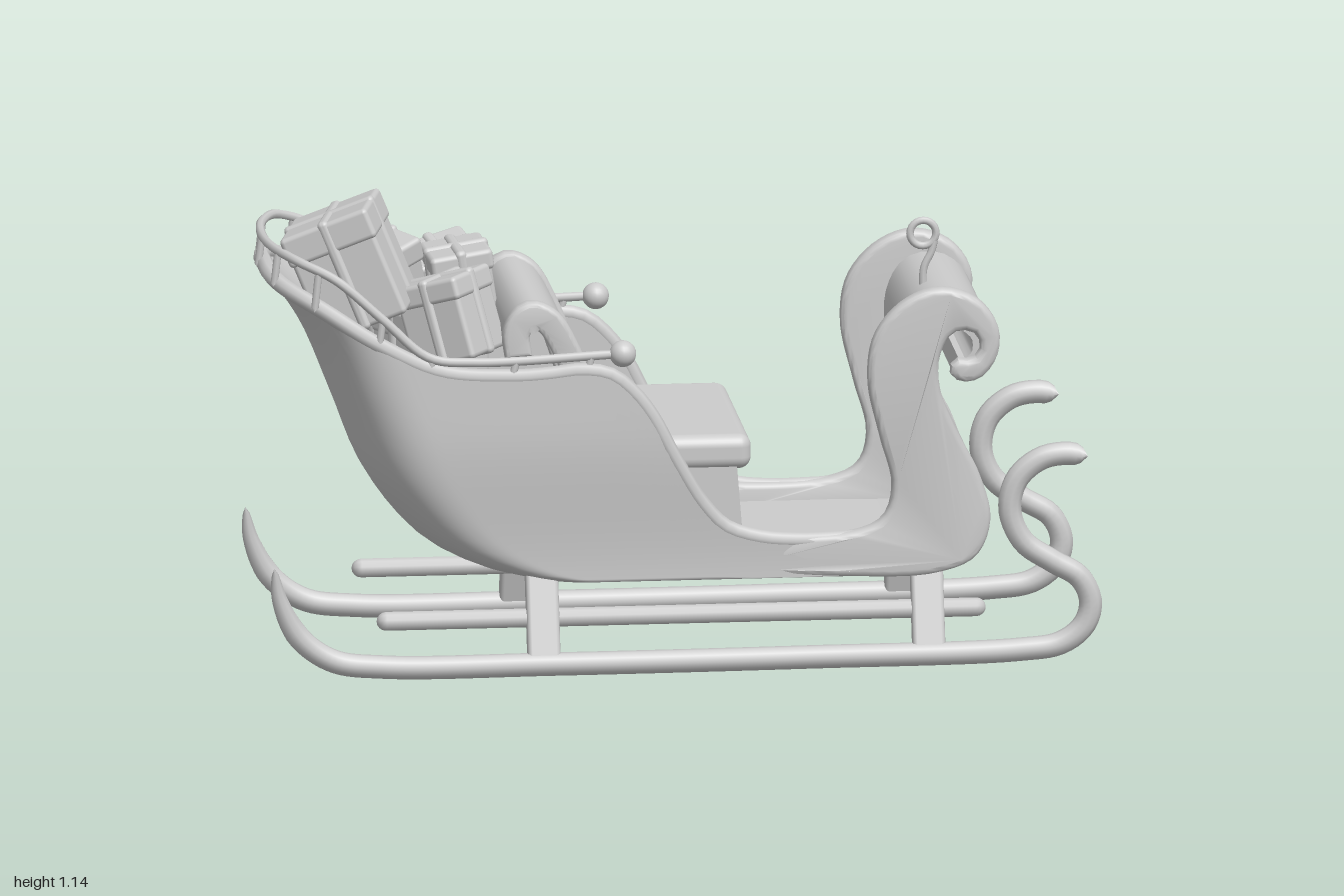
import * as THREE from 'three';
import { toCreasedNormals } from 'three/addons/utils/BufferGeometryUtils.js';
import { RoundedBoxGeometry } from 'three/addons/geometries/RoundedBoxGeometry.js';

const material = new THREE.MeshStandardMaterial({ color: 0xcccccc, side: THREE.DoubleSide });
const V = (x, y, z = 0) => new THREE.Vector3(x, y, z);
const smooth = THREE.MathUtils.smoothstep;

function add(parent, name, geometry) {
  const mesh = new THREE.Mesh(geometry, material);
  mesh.name = name;
  parent.add(mesh);
  return mesh;
}

const spline = (pts) => new THREE.CatmullRomCurve3(pts.map((p) => V(...p)), false, 'centripetal');

// Round bar along a curve; its ends close over the fractions tipA and tipB
function bar(curve, radius, segments = 60, sides = 10, tipA = 0.01, tipB = 0.01) {
  const g = new THREE.TubeGeometry(curve, segments, radius, sides);
  const pos = g.attributes.position, p = V(0, 0);
  for (let i = 0; i < pos.count; i++) {
    const u = Math.floor(i / (sides + 1)) / segments;
    const k = Math.sqrt(Math.min(1, u / tipA, (1 - u) / tipB));
    const c = curve.getPointAt(u);
    p.fromBufferAttribute(pos, i).sub(c).multiplyScalar(k).add(c);
    pos.setXYZ(i, p.x, p.y, p.z);
  }
  return g;
}

// Slab with a closed side outline, centred across z
function slab(outline, width, bevel) {
  const g = new THREE.ExtrudeGeometry(new THREE.Shape(outline), {
    depth: width - 2 * bevel, bevelEnabled: bevel > 0, bevelSize: bevel,
    bevelOffset: -bevel, bevelThickness: bevel, bevelSegments: 3,
  });
  g.translate(0, 0, -(width - 2 * bevel) / 2);
  return g;
}

// Outline of a ribbon with constant thickness along a side-view path
function ribbon(points, thickness, n = 50) {
  const curve = spline(points), a = [], b = [];
  for (let i = 0; i <= n; i++) {
    const p = curve.getPointAt(i / n), t = curve.getTangentAt(i / n);
    const h = thickness / 2;
    a.push(new THREE.Vector2(p.x - t.y * h, p.y + t.x * h));
    b.unshift(new THREE.Vector2(p.x + t.y * h, p.y - t.x * h));
  }
  return a.concat(b);
}

// Rear profile and upper edge of the hull
const backCurve = spline([[-0.4, 0.222], [-0.5, 0.245], [-0.62, 0.31], [-0.74, 0.46], [-0.81, 0.63],
  [-0.88, 0.8], [-0.935, 0.89], [-0.985, 0.95]]);
const backPts = backCurve.getPoints(120);
function backX(y) {
  const i = backPts.findIndex((p) => p.y >= y);
  if (i < 0) return -0.985;
  if (i === 0) return -0.4;
  const a = backPts[i - 1], b = backPts[i];
  return a.x + (b.x - a.x) * (y - a.y) / (b.y - a.y);
}
const rimCurve = spline([[-0.985, 0.95], [-0.87, 0.9], [-0.72, 0.81], [-0.58, 0.745], [-0.38, 0.73], [-0.19, 0.735],
  [-0.1, 0.66], [0, 0.48], [0.09, 0.355], [0.2, 0.315], [0.55, 0.315]]);

// Point on the hull: q runs round the plan (-1..1, 0 at the back), v from bottom to rim
function hullPoint(q, v, inset) {
  const s = Math.abs(q) ** 1.6;
  const r = rimCurve.getPointAt(s);
  const c = backCurve.getPointAt(v);
  let y = 0.222 + (c.y - 0.222) * (r.y - 0.222) / 0.728;
  const follow = THREE.MathUtils.clamp((0.5 - r.x) / 1.2, 0, 1);
  let x = r.x + (backX(y) - backX(r.y)) * follow;
  const t = THREE.MathUtils.clamp((x - backX(y)) / 0.2, 0, 1);
  const side = (1 - (1 - t) ** 2.5) ** 0.4;
  const z = side * (0.297 + 0.028 * smooth(y, 0.24, 0.6) - inset);
  x += inset * (1 - side);
  y += inset * (1 - v);
  return V(x, y, Math.sign(q) * z);
}

function hullSkin(inset) {
  const cols = 96, rows = 20, pos = [], index = [];
  for (let i = 0; i <= cols; i++) {
    for (let j = -1; j <= rows; j++) {
      const p = hullPoint(i / cols * 2 - 1, Math.max(j, 0) / rows, inset);
      pos.push(p.x, p.y, j < 0 ? 0 : p.z);
      if (i < cols && j < rows) {
        const a = i * (rows + 2) + j + 1, b = a + rows + 2;
        index.push(a, b, a + 1, b, b + 1, a + 1);
      }
    }
  }
  const g = new THREE.BufferGeometry();
  g.setAttribute('position', new THREE.Float32BufferAttribute(pos, 3));
  g.setIndex(index);
  g.computeVertexNormals();
  return g;
}

// Wrapped box: body, overhanging lid and crossed bands
function gift(parent, [x, y, z], [w, h, d], [rx, ry, rz]) {
  const box = new THREE.Group();
  box.name = 'gift';
  const part = (name, a, b, c, py) => {
    add(box, name, new RoundedBoxGeometry(a, b, c, 2, 0.012)).position.y = py;
  };
  part('giftBody', w, h, d, 0);
  part('giftLid', w + 0.012, h * 0.28, d + 0.012, h * 0.37);
  part('bandAcross', w + 0.018, h + 0.012, 0.028, 0.003);
  part('bandAlong', 0.028, h + 0.012, d + 0.018, 0.003);
  box.position.set(x, y, z);
  box.rotation.set(rx, ry, rz);
  parent.add(box);
}

export function createModel() {
  const sleigh = new THREE.Group();
  sleigh.name = 'sleigh';

  // Hull shell and rolled rim
  add(sleigh, 'hullOutside', hullSkin(0));
  add(sleigh, 'hullInside', hullSkin(0.035));
  const rim = [];
  for (let i = 0; i <= 60; i++) rim.push(hullPoint(i / 30 - 1, 1, 0.0175).toArray());
  add(sleigh, 'hullRim', bar(spline(rim), 0.02, 140, 8));

  // Scrolled side boards: flush with the hull behind, flaring outwards towards the top
  const boardOutline = spline([[0.1, 0.23], [0.35, 0.222], [0.6, 0.223], [0.7, 0.262], [0.735, 0.35], [0.71, 0.46],
    [0.65, 0.58], [0.612, 0.68], [0.612, 0.76], [0.645, 0.815], [0.69, 0.815], [0.71, 0.78], [0.69, 0.75],
    [0.65, 0.748], [0.635, 0.72], [0.66, 0.695], [0.71, 0.703], [0.75, 0.76], [0.75, 0.83], [0.7, 0.897],
    [0.61, 0.925], [0.52, 0.89], [0.455, 0.81], [0.44, 0.7], [0.47, 0.56], [0.5, 0.44], [0.48, 0.365],
    [0.42, 0.333], [0.2, 0.325], [0.1, 0.34]]).getSpacedPoints(130).map((p) => new THREE.Vector2(p.x, p.y));
  for (const s of [1, -1]) {
    const g = slab(boardOutline, 0.048, 0.015);
    const pos = g.attributes.position;
    for (let i = 0; i < pos.count; i++) {
      const flare = 0.024 * smooth(pos.getY(i), 0.4, 0.75) - 0.014 * (1 - smooth(pos.getX(i), 0.1, 0.4));
      pos.setZ(i, pos.getZ(i) + s * (0.281 + flare));
    }
    add(sleigh, 'scrollBoard', toCreasedNormals(g, 0.7));
  }

  // Curved dashboard sheet rolled over at the top
  const dash = ribbon([[0.1, 0.255], [0.4, 0.253], [0.59, 0.255], [0.675, 0.285], [0.703, 0.355], [0.677, 0.46],
    [0.615, 0.58], [0.575, 0.68], [0.572, 0.77], [0.607, 0.835], [0.665, 0.845], [0.715, 0.805], [0.715, 0.75],
    [0.68, 0.72], [0.655, 0.722]], 0.055, 70);
  add(sleigh, 'dashboard', toCreasedNormals(slab(dash, 0.59, 0), 0.7));

  // Rein ring on the dashboard
  add(sleigh, 'reinRing', new THREE.TorusGeometry(0.031, 0.009, 8, 24)).position.set(0.605, 0.985, 0);
  add(sleigh, 'reinStem', bar(spline([[0.605, 0.84], [0.607, 0.9], [0.625, 0.94], [0.634, 0.975]]), 0.009, 16, 8));

  // Seat: box, cushion and rolled backrest
  const seatBox = [[-0.3, 0.25], [0.15, 0.25], [0.13, 0.5], [-0.3, 0.5]].map((p) => new THREE.Vector2(...p));
  add(sleigh, 'seatBox', toCreasedNormals(slab(seatBox, 0.56, 0), 0.5));
  add(sleigh, 'seatCushion', new RoundedBoxGeometry(0.46, 0.085, 0.58, 4, 0.03)).position.set(-0.065, 0.527, 0);
  const backPath = [[-0.39, 0.77], [-0.395, 0.83], [-0.365, 0.872], [-0.32, 0.855], [-0.27, 0.77], [-0.225, 0.65],
    [-0.19, 0.52]];
  add(sleigh, 'backrest', toCreasedNormals(slab(ribbon(backPath, 0.045), 0.55, 0), 0.7));
  for (const z of [-0.26, 0.26]) {
    const edge = toCreasedNormals(slab(ribbon(backPath, 0.065), 0.045, 0.012), 0.7);
    add(sleigh, 'backrestEdge', edge).position.z = z;
  }

  // Luggage rail with posts and ball ends
  const half = [[-0.96, 1.02, 0.14], [-0.91, 1.01, 0.255], [-0.83, 0.975, 0.3], [-0.72, 0.88, 0.315],
    [-0.61, 0.785, 0.317], [-0.5, 0.77, 0.315], [-0.15, 0.78, 0.303]];
  const mirrored = half.map(([x, y, z]) => [x, y, -z]).reverse();
  add(sleigh, 'luggageRail', bar(spline([...mirrored, [-0.975, 1.02, 0], ...half]), 0.011, 120, 8));
  const post = (x, y, z, drop) => add(sleigh, 'railPost', bar(spline([[x, y, z], [x - 0.01, y - drop, z]]), 0.009, 8, 8));
  post(-0.975, 1.02, 0, 0.08);
  for (const s of [1, -1]) {
    post(-0.955, 1.02, s * 0.17, 0.09);
    post(-0.87, 0.995, s * 0.285, 0.1);
    post(-0.72, 0.88, s * 0.313, 0.08);
    post(-0.6, 0.78, s * 0.315, 0.04);
    post(-0.4, 0.772, s * 0.313, 0.04);
    post(-0.22, 0.778, s * 0.306, 0.045);
    add(sleigh, 'railBall', new THREE.SphereGeometry(0.032, 20, 14)).position.set(-0.145, 0.78, s * 0.302);
  }

  // Runners, upper bars and slanted struts
  const runner = [[-0.98, 0.28], [-0.966, 0.2], [-0.92, 0.11], [-0.84, 0.052], [-0.72, 0.034], [-0.3, 0.031],
    [0.3, 0.033], [0.8, 0.039], [0.9, 0.053], [0.955, 0.095], [0.971, 0.152], [0.945, 0.212], [0.88, 0.253],
    [0.81, 0.303], [0.778, 0.38], [0.795, 0.455], [0.85, 0.503], [0.91, 0.515], [0.965, 0.506]];
  for (const s of [1, -1]) {
    add(sleigh, 'runner', bar(spline(runner.map(([x, y]) => [x, y, s * 0.322])), 0.028, 180, 10, 0.06, 0.012));
    const upperBar = add(sleigh, 'upperBar', new THREE.CapsuleGeometry(0.023, 1.41, 4, 10));
    upperBar.position.set(-0.003, 0.135, s * 0.278);
    upperBar.rotation.z = Math.PI / 2;
    for (const x of [-0.335, 0.585]) {
      const strut = add(sleigh, 'strut', new RoundedBoxGeometry(0.078, 0.225, 0.04, 2, 0.01));
      strut.position.set(x, 0.14, s * 0.287);
      strut.rotation.x = -s * 0.3;
    }
  }

  // Load of gifts behind the seat
  gift(sleigh, [-0.775, 0.965, 0.115], [0.215, 0.27, 0.22], [0, -0.25, 0.4]);
  gift(sleigh, [-0.7, 0.86, -0.13], [0.19, 0.22, 0.19], [0.1, 0.6, 0.25]);
  gift(sleigh, [-0.49, 0.87, -0.095], [0.14, 0.18, 0.18], [0, 0.05, 0.15]);
  gift(sleigh, [-0.52, 0.85, -0.21], [0.16, 0.18, 0.13], [0.25, 0.25, 0.2]);
  gift(sleigh, [-0.54, 0.84, 0.14], [0.17, 0.2, 0.17], [0, -0.6, 0.3]);
  gift(sleigh, [-0.58, 0.72, 0.0], [0.2, 0.24, 0.24], [0, 0.5, 0]);
  return sleigh;
}
